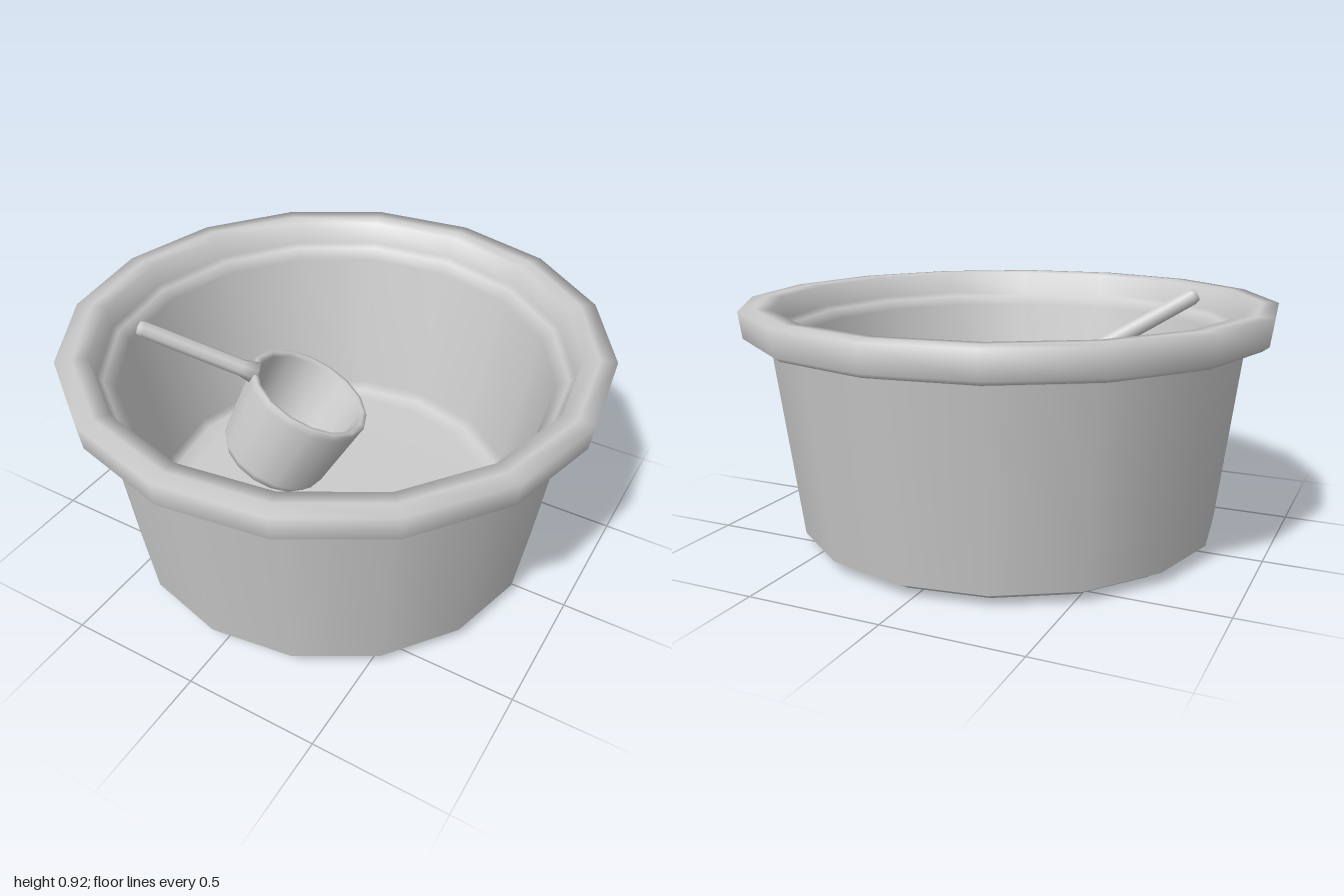
import * as THREE from 'three';

const material = new THREE.MeshStandardMaterial({ color: 0xcccccc });
const deg = THREE.MathUtils.degToRad;

// Turned part: profile of [radius, height] running from the underside, up the outside and down the inside
function turned(name, profile, sides, start = 0) {
  const points = profile.map(([r, y]) => new THREE.Vector2(r, y));
  const mesh = new THREE.Mesh(new THREE.LatheGeometry(points, sides, start), material);
  mesh.name = name;
  return mesh;
}

export function createModel() {
  const model = new THREE.Group();
  model.name = 'bowlWithLadle';

  // Sixteen-sided tub with foot ring, overhanging rim and a sloping shoulder inside
  model.add(turned('bowl', [
    [0, 0], [0.72, 0], [0.742, 0.01], [0.75, 0.035],
    [0.785, 0.035], [0.803, 0.045],
    [0.892, 0.758], [0.912, 0.775],
    [0.965, 0.778], [0.988, 0.795], [1.001, 0.892],
    [0.94, 0.896], [0.885, 0.892], [0.867, 0.81], [0.847, 0.793],
    [0.805, 0.76], [0.7, 0.19], [0.67, 0.163], [0.61, 0.15], [0, 0.15],
  ], 16, deg(-3.3)));

  // Ladle: its local x axis runs out along the handle
  const ladle = new THREE.Group();
  ladle.name = 'ladle';
  ladle.add(turned('ladleCup', [
    [0, -0.375], [0.16, -0.375], [0.195, -0.36], [0.22, -0.32],
    [0.247, -0.03], [0.25, -0.012], [0.243, 0], [0.228, 0], [0.217, -0.012],
    [0.19, -0.29], [0.17, -0.325], [0.13, -0.34], [0, -0.34],
  ], 16));

  // Handle: slender rod with rounded tip, thickest where it meets the cup
  const handle = turned('ladleHandle', [
    [0, 0], [0.045, 0], [0.033, 0.06], [0.031, 0.45], [0.025, 0.47], [0, 0.475],
  ], 8);
  handle.rotation.z = -Math.PI / 2;
  handle.position.set(0.225, -0.016, 0);
  ladle.add(handle);

  ladle.position.set(-0.107, 0.595, 0.009);
  ladle.rotation.set(0, deg(-147), deg(27.5));
  model.add(ladle);

  return model;
}
